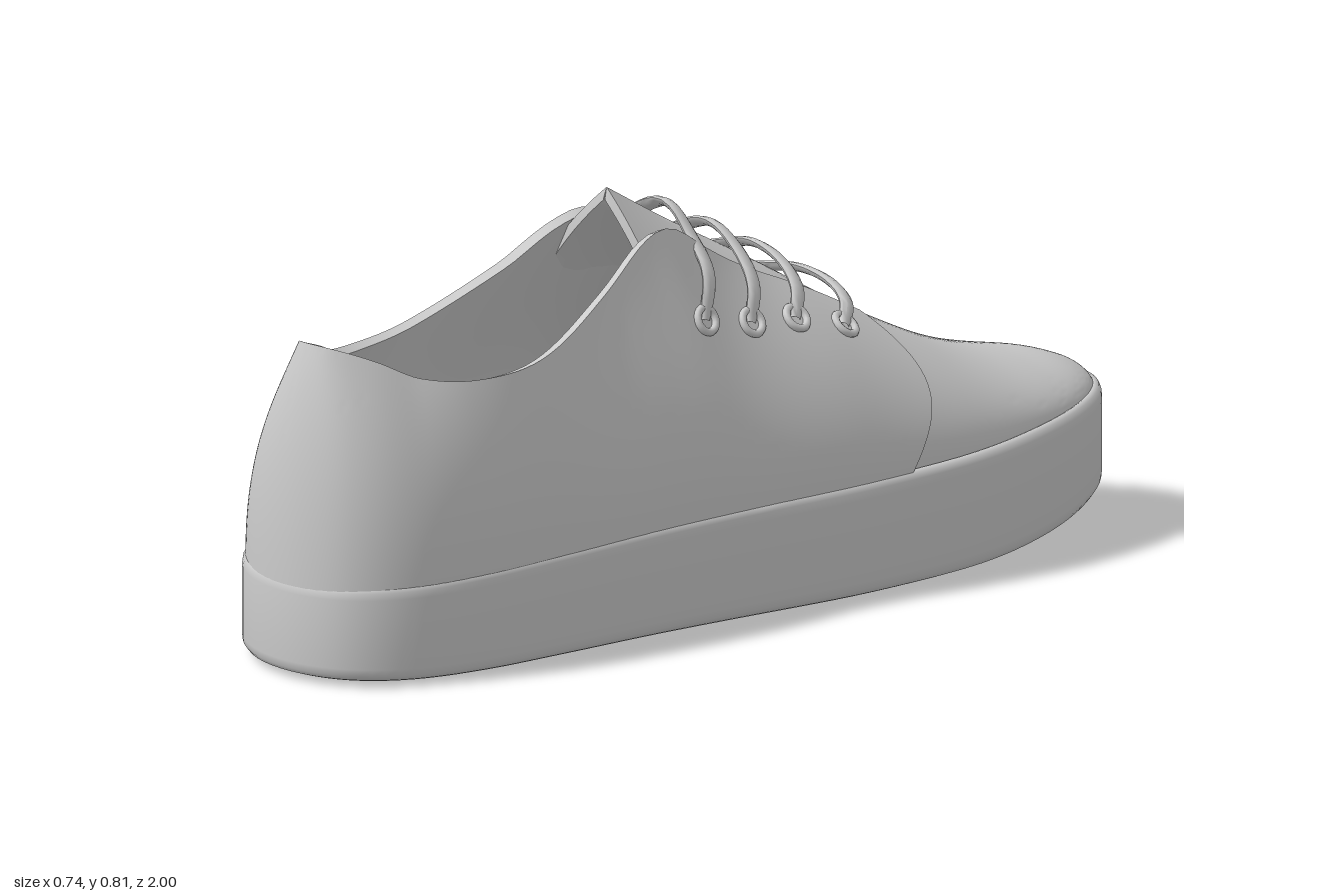
import * as THREE from 'three';
import { mergeVertices, toCreasedNormals } from 'three/addons/utils/BufferGeometryUtils.js';

const V = (x, y, z) => new THREE.Vector3(x, y, z);
const material = new THREE.MeshStandardMaterial({ color: 0xcccccc, roughness: 0.8, side: THREE.DoubleSide });
const { smoothstep, lerp, degToRad } = THREE.MathUtils;
const range = (a, b, n) => Array.from({ length: n + 1 }, (_, i) => lerp(a, b, i / n));

// Smooth curve through [position, value] keys in ascending order
function keys(pts) {
  const slope = (i) => {
    const a = pts[Math.max(i - 1, 0)], b = pts[Math.min(i + 1, pts.length - 1)];
    return (b[1] - a[1]) / (b[0] - a[0]);
  };
  return (x) => {
    if (x <= pts[0][0]) return pts[0][1];
    if (x >= pts[pts.length - 1][0]) return pts[pts.length - 1][1];
    const i = pts.findIndex((p) => p[0] > x) - 1;
    const [x0, y0] = pts[i], [x1, y1] = pts[i + 1], h = x1 - x0, t = (x - x0) / h;
    const t2 = t * t, t3 = t2 * t;
    return y0 * (2 * t3 - 3 * t2 + 1) + slope(i) * h * (t3 - 2 * t2 + t)
      + y1 * (3 * t2 - 2 * t3) + slope(i + 1) * h * (t3 - t2);
  };
}

// Surface from a point function over two lists of parameters
function grid(name, us, vs, fn, crease = 0.9) {
  const pos = [], idx = [], n = vs.length;
  us.forEach((u, i) => vs.forEach((v, j) => {
    pos.push(...fn(u, v).toArray());
    if (i && j) {
      const d = i * n + j, c = d - 1, b = d - n, a = b - 1;
      idx.push(a, c, d, a, d, b);
    }
  }));
  let g = new THREE.BufferGeometry();
  g.setAttribute('position', new THREE.Float32BufferAttribute(pos, 3));
  g.setIndex(idx);
  g = toCreasedNormals(mergeVertices(g, 1e-4), crease);
  const mesh = new THREE.Mesh(g, material);
  mesh.name = name;
  return mesh;
}

// Plan outline: angle 0 is the heel, 180 the toe, z = cos(angle); values every 15 degrees
const every15 = (a) => keys(a.map((x, i) => [i * 15, x]));
const outR = every15([0.03, 0.155, 0.235, 0.27, 0.277, 0.282, 0.305, 0.345, 0.365, 0.335, 0.275, 0.19, 0.08]);
const outL = every15([0.03, -0.11, -0.225, -0.26, -0.268, -0.295, -0.35, -0.37, -0.32, -0.24, -0.145, -0.04, 0.08]);
const centre = keys([[-1, 0.08], [-0.5, 0.05], [-0.2, 0.02], [0.2, 0.015], [1, 0.03]]);

// Side profiles along z
const soleTop = keys([[-1, 0.275], [-0.4, 0.235], [0, 0.217], [1, 0.195]]);
const soleBottom = keys([[-1, 0.088], [-0.7, 0.037], [-0.4, 0.012], [0, 0], [1, 0.01]]);
const ridge = keys([[-1, 0.285], [-0.96, 0.305], [-0.9, 0.325], [-0.8, 0.345], [-0.7, 0.37], [-0.6, 0.405],
  [-0.5, 0.45], [-0.4, 0.5], [-0.2, 0.615], [0, 0.72], [0.16, 0.81]]);
const collarY = keys([[-0.4, 0.485], [0, 0.685], [0.1, 0.735], [0.18, 0.72], [0.3, 0.652], [0.5, 0.57],
  [0.65, 0.553], [0.78, 0.568], [0.86, 0.608], [0.93, 0.64]]);
const collarHalf = keys([[0, 0], [15, 0.06], [30, 0.118], [45, 0.167], [60, 0.18], [75, 0.132], [82, 0.107], [90, 0.1], [130, 0.1]]);

// Signed angle to side (+1 is +x) and angle from the heel
function place(a) {
  const left = a < 0 || a > 180;
  const deg = a > 180 ? 360 - a : Math.abs(a);
  return { s: left ? -1 : 1, deg, z: Math.cos(degToRad(deg)), x: (left ? outL : outR)(deg) };
}

function bezier(p, t) {
  const k = 1 - t;
  return V(0, 0, 0).addScaledVector(p[0], k * k * k).addScaledVector(p[1], 3 * k * k * t)
    .addScaledVector(p[2], 3 * k * t * t).addScaledVector(p[3], t * t * t);
}

function footPoint({ x, z }) {
  const c = centre(z);
  return V(c + (x - c) * 0.94, soleTop(z) - 0.012, z * 0.987);
}

// Arch from the sole edge to the middle ridge
function arch(a, t) {
  const p = place(a), B = footPoint(p), T = V(centre(p.z), ridge(p.z), B.z), h = T.y - B.y;
  return bezier([B, V(B.x, B.y + 0.5 * h, B.z),
    V(lerp(T.x, B.x, 0.5), T.y - 0.2 * h * smoothstep(p.z, -0.4, 0.2), B.z), T], t);
}

function tAt(fn, a, half) {
  let lo = 0, hi = 1;
  for (let i = 0; i < 18; i++) {
    const m = (lo + hi) / 2;
    if (Math.abs(fn(a, m).x - centre(place(a).z)) > half) lo = m; else hi = m;
  }
  return lo;
}

// Side wall from the sole edge to the collar, turning into the arch towards the front
function side(a, t) {
  const p = place(a), B = footPoint(p), w = smoothstep(p.z, -0.25, 0.1);
  const tz = p.z - 0.07 * smoothstep(p.z, 0.5, 1);
  const T = V(centre(tz) + p.s * collarHalf(p.deg), collarY(tz), tz), h = T.y - B.y;
  const k = lerp(0.4, 0.75, smoothstep(p.z, 0.3, 0.95));
  const P2 = V(lerp(T.x, B.x, k), T.y - 0.32 * h, lerp(T.z, B.z, k));
  const wall = bezier([B, V(B.x, B.y + 0.38 * h, B.z), P2, T], t);
  return w === 1 ? wall : arch(a, t * tAt(arch, a, 0.1)).lerp(wall, w);
}

function normalAt(fn, a, t) {
  const du = fn(a + 0.5, t).sub(fn(a - 0.5, t)), dv = fn(a, t + 0.01).sub(fn(a, t - 0.01));
  return du.cross(dv).normalize();
}
const lifted = (fn, a, t, d) => (d ? fn(a, t).addScaledVector(normalAt(fn, a, t), d) : fn(a, t));

export function createModel() {
  const shoe = new THREE.Group();
  shoe.name = 'shoe';

  // Sole: [scale about the centre line, share of the height]
  const profile = [[0, 0], [0.5, 0], [0.93, 0], [0.975, 0.025], [0.995, 0.07], [1, 0.14], [1, 0.86],
    [0.995, 0.93], [0.98, 0.98], [0.95, 1], [0.9, 0.97], [0.5, 0.95], [0, 0.95]];
  shoe.add(grid('sole', range(0, 360, 120), profile, (a, [k, f]) => {
    const { x, z } = place(a), c = centre(z);
    return V(lerp(c, x, k), lerp(soleBottom(z), soleTop(z), f), z * (1 - 0.3 * (1 - k)));
  }));

  // Toe cap
  shoe.add(grid('vamp', range(104, 256, 80), range(0, 1, 24), arch));

  // Heel and side wall, with thickness and a curved front seam
  const wallPath = [...range(0, 1, 22).map((t) => [t, 0.011]), ...range(1, 0, 16).map((t) => [t, -0.01])];
  const around = [[-1, 0], ...range(-1, 1, 140).map((u) => [u, 1]), [1, 0]];
  shoe.add(grid('quarters', around, wallPath, ([u, on], [t, d]) => {
    const end = 109.3 + 3.3 * t + 4 * Math.sin(Math.PI * t);
    return lifted(side, u * end, t, d * on);
  }));

  // Tongue, folded over its top edge
  const tonguePath = [...range(102, 81, 14).map((a) => [a, -0.018]), ...range(81, 104, 16).map((a) => [a, 0])];
  shoe.add(grid('tongue', tonguePath, range(1, -1, 24), ([a, d], v) => {
    const t = 1 - 0.38 * Math.abs(v), b = v < 0 ? -a : a;
    const n = normalAt(arch, b, t);
    if (v === 0) n.x = 0;
    return arch(b, t).addScaledVector(n, d);
  }));

  // Laces and eyelets
  for (const z of [0.07, -0.05, -0.165, -0.285]) {
    const onSide = (s, dz, half, d) => {
      const a = s * THREE.MathUtils.radToDeg(Math.acos(z + dz));
      return lifted(side, a, tAt(side, a, half), d);
    };
    const onTop = (s, half, d) => {
      const a = s * THREE.MathUtils.radToDeg(Math.acos(z - 0.045));
      return lifted(arch, a, half ? tAt(arch, a, half) : 1, d);
    };
    const path = new THREE.CatmullRomCurve3([
      onSide(-1, 0, 0.172, 0.008), onSide(-1, -0.025, 0.135, 0.027), onTop(-1, 0.07, 0.03), onTop(1, 0, 0.03),
      onTop(1, 0.07, 0.03), onSide(1, -0.025, 0.135, 0.027), onSide(1, 0, 0.172, 0.008)]);
    shoe.add(grid('lace', range(0, 1, 28), range(0, 2 * Math.PI, 10), (u, f) => {
      const p = path.getPointAt(u), T = path.getTangentAt(u);
      const N = V((p.x - centre(z)) * 5, 0.9, -0.45);
      N.addScaledVector(T, -N.dot(T)).normalize();
      const W = T.clone().cross(N), width = 0.011 + 0.01 * Math.sin(Math.PI * u) ** 0.4;
      return p.addScaledVector(W, width * Math.cos(f)).addScaledVector(N, 0.008 * Math.sin(f));
    }));
    for (const s of [-1, 1]) {
      const a = s * THREE.MathUtils.radToDeg(Math.acos(z)), t = tAt(side, a, 0.172);
      const eyelet = new THREE.Mesh(new THREE.TorusGeometry(0.024, 0.008, 8, 20), material);
      eyelet.name = 'eyelet';
      eyelet.position.copy(lifted(side, a, t, 0.013));
      eyelet.quaternion.setFromUnitVectors(V(0, 0, 1), normalAt(side, a, t));
      shoe.add(eyelet);
    }
  }
  return shoe;
}
